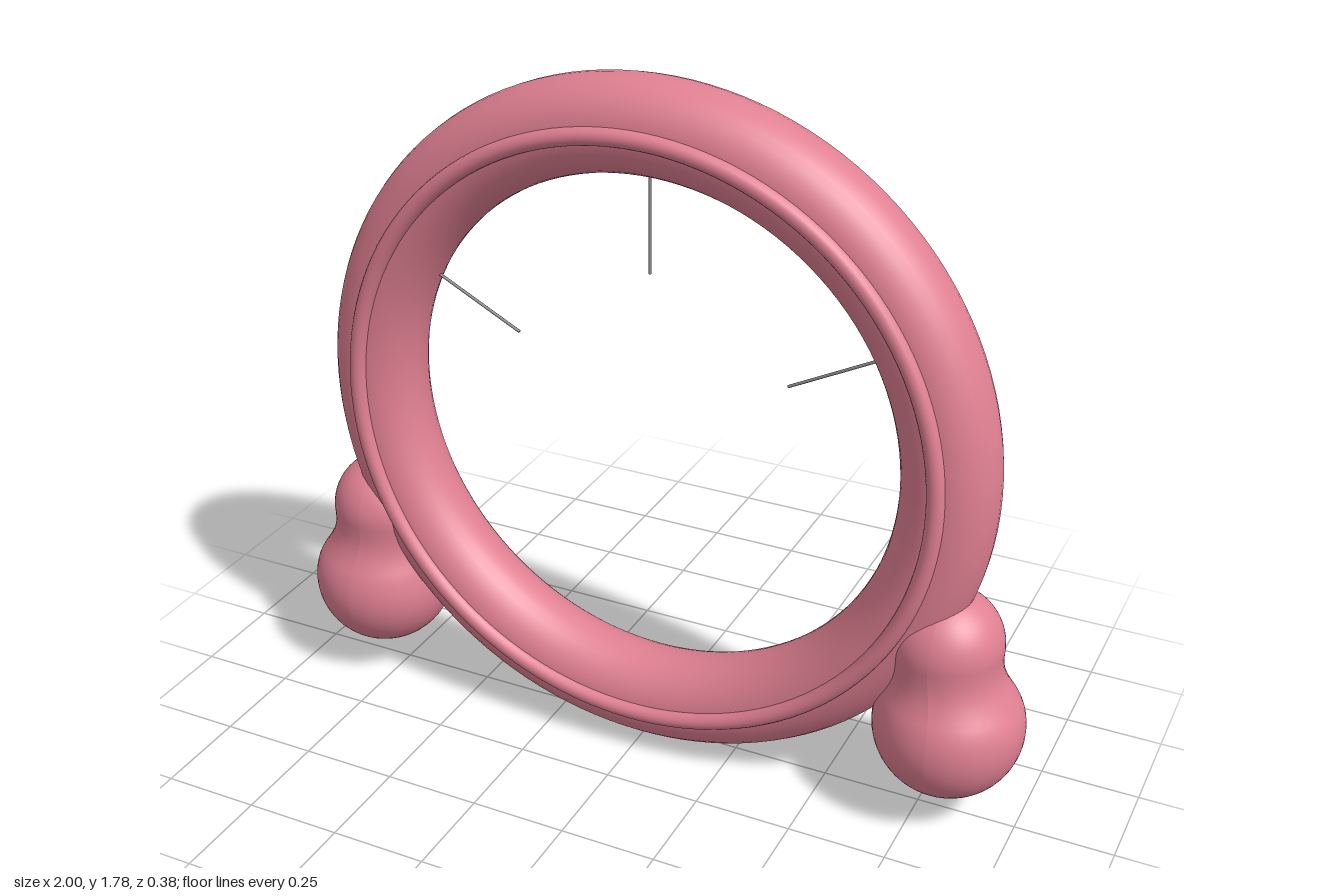
import * as THREE from 'three';

const CENTER_Y = 0.895;

export function createModel() {
  const model = new THREE.Group();
  const pink = new THREE.MeshStandardMaterial({ color: 0xe08092 });
  pink.name = 'rose pink';
  const grey = new THREE.MeshStandardMaterial({ color: 0x8c8c8c });
  grey.name = 'wire grey';

  const add = (name, geometry, material) => {
    const mesh = new THREE.Mesh(geometry, material);
    mesh.name = name;
    model.add(mesh);
    return mesh;
  };

  // Main hoop, with a thin bead along its front
  add('hoop', new THREE.TorusGeometry(0.773, 0.118, 32, 128), pink).position.y = CENTER_Y;
  add('frontBead', new THREE.TorusGeometry(0.773, 0.022, 16, 128), pink).position.set(0, CENTER_Y, 0.117);

  // Pear-shaped feet: big ball, soft waist and small ball
  const profile = [];
  const arc = (y, r, from, to, steps) => {
    for (let i = 0; i <= steps; i++) {
      const a = THREE.MathUtils.degToRad(from + (to - from) * i / steps);
      profile.push(new THREE.Vector2(Math.max(0, r * Math.cos(a)), y + r * Math.sin(a)));
    }
  };
  arc(0.265, 0.188, -90, 32, 24);
  profile.push(new THREE.Vector2(0.149, 0.388), new THREE.Vector2(0.142, 0.412), new THREE.Vector2(0.139, 0.44));
  arc(0.49, 0.142, -8, 90, 16);

  for (const [name, side] of [['leftFoot', 1], ['rightFoot', -1]]) {
    const geometry = new THREE.LatheGeometry(profile, 48);
    const p = geometry.attributes.position;
    // The upper ball leans in towards the hoop
    for (let i = 0; i < p.count; i++) {
      const lean = 0.022 * THREE.MathUtils.smoothstep(p.getY(i), 0.3, 0.48);
      p.setX(i, p.getX(i) + side * (0.812 - lean));
    }
    geometry.computeVertexNormals();
    add(name, geometry, pink);
  }

  // Thin wires pointing from the hoop to its centre
  const inner = 0.405, outer = 0.7;
  for (const [name, degrees] of [['leftWire', 27], ['topWire', 90], ['rightWire', 153]]) {
    const a = THREE.MathUtils.degToRad(degrees);
    const r = (inner + outer) / 2;
    const wire = add(name, new THREE.CylinderGeometry(0.004, 0.004, outer - inner, 8), grey);
    wire.position.set(r * Math.cos(a), CENTER_Y + r * Math.sin(a), 0);
    wire.rotation.z = a - Math.PI / 2;
  }

  return model;
}
